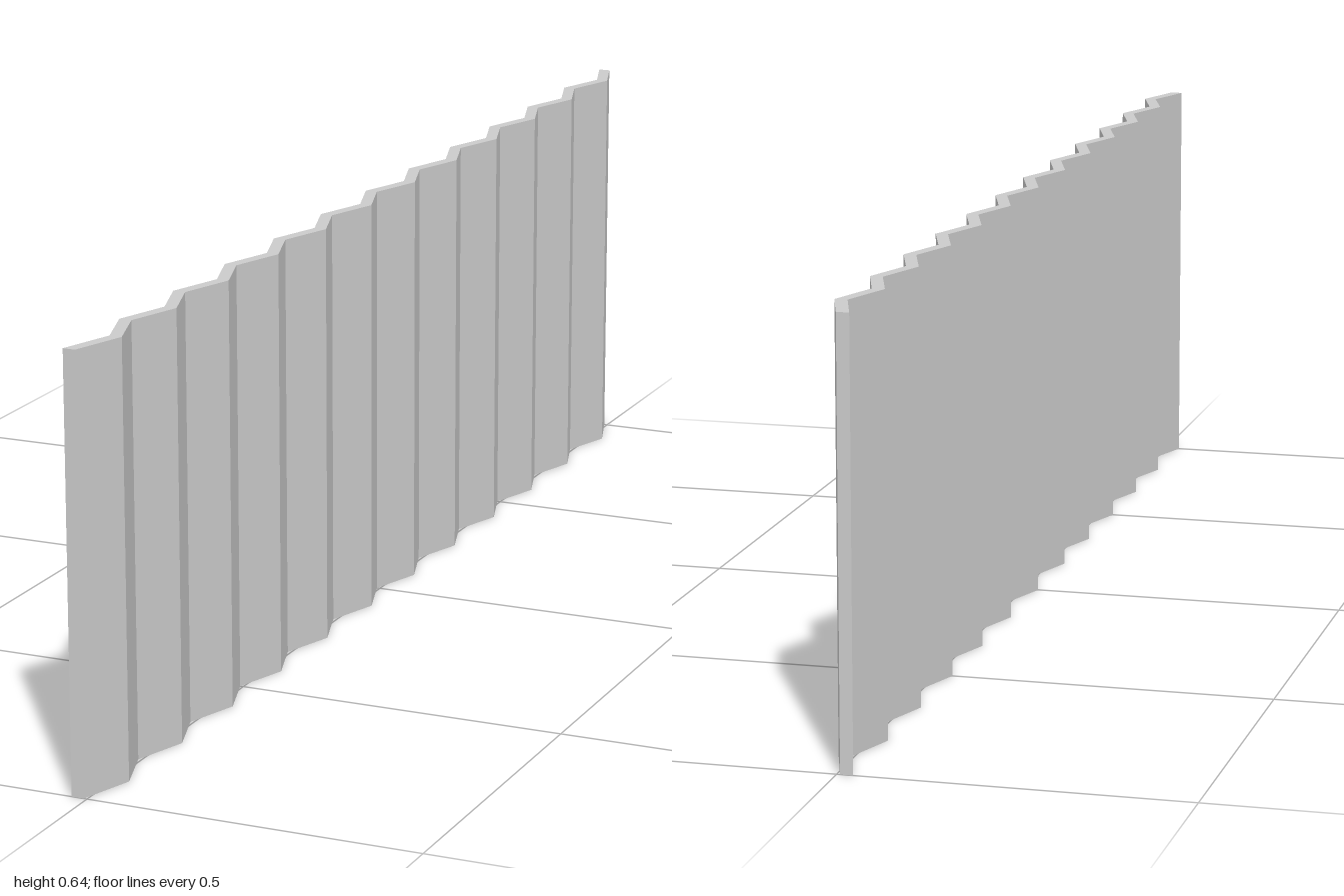
import * as THREE from 'three';

const HEIGHT = 0.637, LENGTH = 2, FOLDS = 24;
const LOW = -0.0235, HIGH = 0.004, THICKNESS = 0.0185;

export function createModel() {
  const group = new THREE.Group();
  group.name = 'corrugatedPanel';

  // zigzag plan outline: down one face, back along the other
  const left = [], right = [];
  for (let i = 0; i <= FOLDS; i++) {
    const z = -LENGTH / 2 + (LENGTH * i) / FOLDS;
    const x = i % 2 ? HIGH : LOW;
    left.push(new THREE.Vector2(x, -z));
    right.unshift(new THREE.Vector2(x + THICKNESS, -z));
  }

  // raise the outline into an upright sheet
  const geometry = new THREE.ExtrudeGeometry(new THREE.Shape([...left, ...right]), {
    depth: HEIGHT, bevelEnabled: false,
  });
  geometry.rotateX(-Math.PI / 2);

  const sheet = new THREE.Mesh(
    geometry,
    new THREE.MeshStandardMaterial({ color: 0xcccccc, flatShading: true }),
  );
  sheet.name = 'corrugatedSheet';
  group.add(sheet);
  return group;
}
